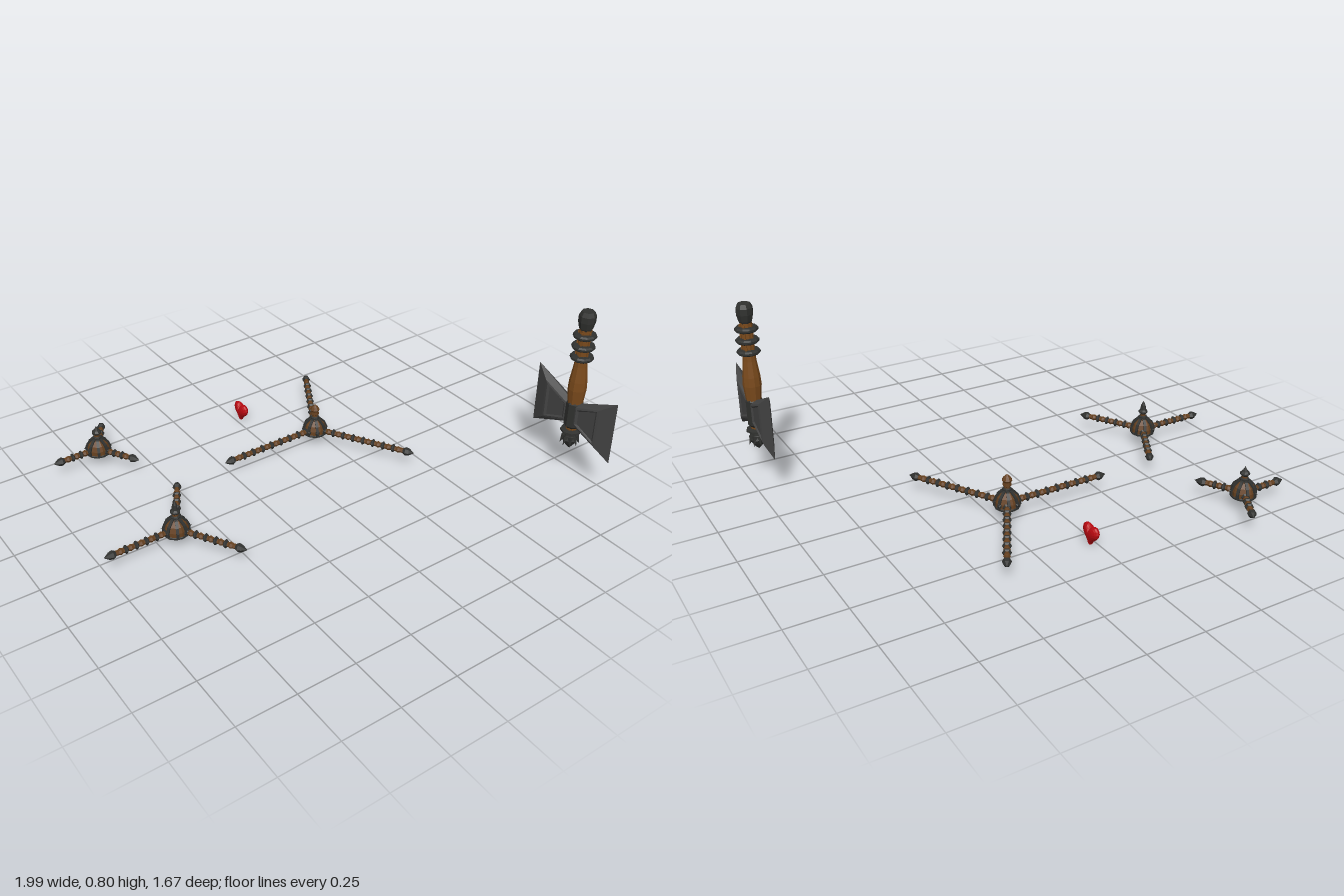
import * as THREE from 'three';

const mat = (color) => new THREE.MeshStandardMaterial({ color, flatShading: true, side: THREE.DoubleSide });
const iron = mat(0x30312f), steel = mat(0x444444), bronze = mat(0x65401f), wood = mat(0x7a4a1c), red = mat(0xb80810);

function add(parent, name, geometry, material, x = 0, y = 0, z = 0) {
  const mesh = new THREE.Mesh(geometry, material);
  mesh.name = name;
  mesh.position.set(x, y, z);
  parent.add(mesh);
  return mesh;
}

// Lathe from [radius, height] pairs
const turned = (points, sides = 8) =>
  new THREE.LatheGeometry(points.map(([r, y]) => new THREE.Vector2(r, y)), sides);

// Beaded arm, built along +y and laid flat toward +x
function makeArm(length) {
  const arm = new THREE.Group();
  arm.name = 'arm';
  const shaft = new THREE.Group();
  shaft.name = 'armShaft';
  shaft.rotation.z = -Math.PI / 2;
  arm.add(shaft);
  const neck = length - 0.05, start = 0.045;
  add(shaft, 'rod', new THREE.CylinderGeometry(0.011, 0.011, neck, 6), bronze, 0, neck / 2);
  const count = Math.max(3, Math.round((neck - start) / 0.048));
  const step = (neck - start) / count;
  for (let i = 0; i < count; i++) {
    const y = start + i * step;
    add(shaft, 'armCollar', turned([[0.01, -0.009], [0.018, -0.003], [0.018, 0.003], [0.01, 0.009]], 6), iron, 0, y);
    add(shaft, 'armBead', turned([[0.01, -0.012], [0.0145, 0], [0.01, 0.012]], 6), bronze, 0, y + step / 2);
  }
  add(shaft, 'armTip', turned([[0, 0], [0.012, 0], [0.019, 0.012], [0.015, 0.028], [0, 0.05]], 6), iron, 0, neck);
  return arm;
}

// Domed hub with ribs and a finial; the finial and ribs differ by type
function makeSpinner(name, length, top, pointed) {
  const g = new THREE.Group();
  g.name = name;
  add(g, 'hubDome', turned([[0, 0.052], [0.04, 0.052], [0.051, 0.06], [0.05, 0.08], [0.042, 0.102],
    [0.025, 0.12], [0.013, 0.127], [0.012, 0.148], [0, 0.148]], 12), bronze);
  add(g, 'hubRim', turned([[0.044, 0.05], [0.054, 0.053], [0.054, 0.06], [0.048, 0.064]], 12), iron);
  const rib = new THREE.Shape([[0.038, 0.054], [0.057, 0.06], [0.056, 0.082], [0.047, 0.104],
    [0.026, 0.125], [0.014, 0.13], [0.016, 0.11], [0.034, 0.092]].map((p) => new THREE.Vector2(...p)));
  const ribGeometry = new THREE.ExtrudeGeometry(rib, { depth: 0.012, bevelEnabled: false }).translate(0, 0, -0.006);
  for (let i = 0; i < 8; i++) {
    const spoke = new THREE.Group();
    spoke.name = 'hubSpoke';
    spoke.rotation.y = (i + 0.5) * Math.PI / 4;
    g.add(spoke);
    add(spoke, 'hubRib', ribGeometry, iron);
    if (pointed) {
      const spike = add(spoke, 'hubSpike', new THREE.ConeGeometry(0.009, 0.024, 4), iron, 0.053, 0.08);
      spike.rotation.z = -Math.PI / 2;
    } else {
      add(spoke, 'hubStud', new THREE.IcosahedronGeometry(0.011, 0), iron, 0.05, 0.075);
    }
  }
  add(g, 'finialCollar', turned([[0.01, 0.124], [0.02, 0.129], [0.02, 0.135], [0.01, 0.14]]), iron);
  const finial = pointed
    ? [[0.009, 0.143], [0.021, 0.154], [0.021, 0.16], [0.014, 0.168], [0.01, top - 0.02], [0, top]]
    : [[0.01, 0.143], [0.019, 0.15], [0.017, 0.165], [0.022, 0.174], [0.014, 0.187], [0, top]];
  add(g, 'finial', turned(finial), pointed ? iron : bronze);
  for (let i = 0; i < 3; i++) {
    const arm = makeArm(length);
    arm.position.y = 0.07;
    arm.rotation.y = Math.PI + i * Math.PI * 2 / 3;
    g.add(arm);
  }
  return g;
}

// Axe blade: trapezoid outlines stepping from the sharp rim up to an inset panel.
// Each outline is [half thickness, inner z, inner half height, outer z, outer half height]
function bladeGeometry() {
  const levels = [[0, 0.015, 0.055, 0.218, 0.143], [0.023, 0.022, 0.045, 0.152, 0.092],
    [0.026, 0.032, 0.038, 0.14, 0.08], [0.02, 0.042, 0.034, 0.13, 0.07]];
  const positions = [];
  for (const side of [1, -1]) {
    const loops = levels.map(([t, z0, h0, z1, h1]) =>
      [[t * side, -h0, z0], [t * side, h0 - 0.005, z0], [t * side, h1, z1], [t * side, -h1, z1]]);
    const quad = (a, b, c, d) => positions.push(...(side > 0 ? [a, b, c, a, c, d] : [a, c, b, a, d, c]).flat());
    for (let k = 0; k < 3; k++) {
      for (let i = 0; i < 4; i++) {
        const j = (i + 1) % 4;
        quad(loops[k][i], loops[k][j], loops[k + 1][j], loops[k + 1][i]);
      }
    }
    quad(...loops[3]);
  }
  const geometry = new THREE.BufferGeometry();
  geometry.setAttribute('position', new THREE.Float32BufferAttribute(positions, 3));
  geometry.computeVertexNormals();
  return geometry;
}

function makeAxe() {
  const g = new THREE.Group();
  g.name = 'axe';
  add(g, 'handle', turned([[0.024, 0.22], [0.028, 0.3], [0.033, 0.38], [0.039, 0.44], [0.037, 0.48],
    [0.028, 0.55], [0.025, 0.59], [0.025, 0.73]], 10), wood);
  // Raised strips along the grip
  for (let i = 0; i < 5; i++) {
    const a = i * Math.PI * 2 / 5;
    const strip = add(g, 'gripStrip', new THREE.BoxGeometry(0.008, 0.12, 0.008), wood,
      Math.sin(a) * 0.025, 0.65, Math.cos(a) * 0.025);
    strip.rotation.y = a;
  }
  for (const y of [0.59, 0.64, 0.69]) {
    add(g, 'gripRing', turned([[0.024, -0.011], [0.042, -0.01], [0.049, -0.004], [0.049, 0.004],
      [0.042, 0.01], [0.024, 0.011]], 10), iron, 0, y);
  }
  add(g, 'pommel', turned([[0.024, 0.715], [0.029, 0.725], [0.036, 0.755], [0.036, 0.782],
    [0.027, 0.8], [0, 0.8]]), iron);
  // Socket that holds both blades
  add(g, 'socket', turned([[0.026, 0.25], [0.036, 0.262], [0.036, 0.37], [0.028, 0.385]]), iron);
  const blade = bladeGeometry();
  for (const turn of [0, Math.PI]) {
    add(g, 'blade', blade, steel, 0, 0.322, 0).rotation.y = turn;
  }
  add(g, 'lowerRing', turned([[0.024, 0.225], [0.046, 0.229], [0.046, 0.237], [0.024, 0.242]]), iron);
  // Flared end with a ring of points
  add(g, 'endCap', turned([[0, 0.142], [0.014, 0.155], [0.026, 0.172], [0.036, 0.19], [0.027, 0.21],
    [0.025, 0.23]]), iron);
  for (let i = 0; i < 8; i++) {
    const a = i * Math.PI / 4;
    const point = add(g, 'endPoint', new THREE.ConeGeometry(0.012, 0.045, 4), iron,
      Math.sin(a) * 0.033, 0.186, Math.cos(a) * 0.033);
    point.rotation.set(Math.PI - 0.35, a, 0, 'YXZ');
  }
  return g;
}

// Sphere remapped to a heart outline in the yz plane
function heartGeometry() {
  const geometry = new THREE.SphereGeometry(1, 24, 10);
  const p = geometry.attributes.position;
  for (let i = 0; i < p.count; i++) {
    const t = Math.atan2(p.getX(i), p.getZ(i));
    const s = Math.hypot(p.getX(i), p.getZ(i)) * 0.0031;
    const y = 13 * Math.cos(t) - 5 * Math.cos(2 * t) - 2 * Math.cos(3 * t) - Math.cos(4 * t);
    p.setXYZ(i, p.getY(i) * 0.021, s * y, s * 16 * Math.sin(t) ** 3);
  }
  geometry.computeVertexNormals();
  return geometry;
}

export function createModel() {
  const model = new THREE.Group();
  model.name = 'trapsAndAxe';
  const spinners = [
    ['smallSpinner', 0.213, 0.19, true, -0.68, -0.65],
    ['mediumSpinner', 0.32, 0.21, true, -0.68, 0.05],
    ['largeSpinner', 0.48, 0.2, false, 0.2, -0.23],
  ];
  for (const [name, length, top, pointed, x, z] of spinners) {
    const spinner = makeSpinner(name, length, top, pointed);
    spinner.position.set(x, 0, z);
    model.add(spinner);
  }
  const axe = makeAxe();
  axe.position.set(0.947, 0, 0.613);
  model.add(axe);
  add(model, 'heart', heartGeometry(), red, 0.025, 0.053, -0.58);
  return model;
}
